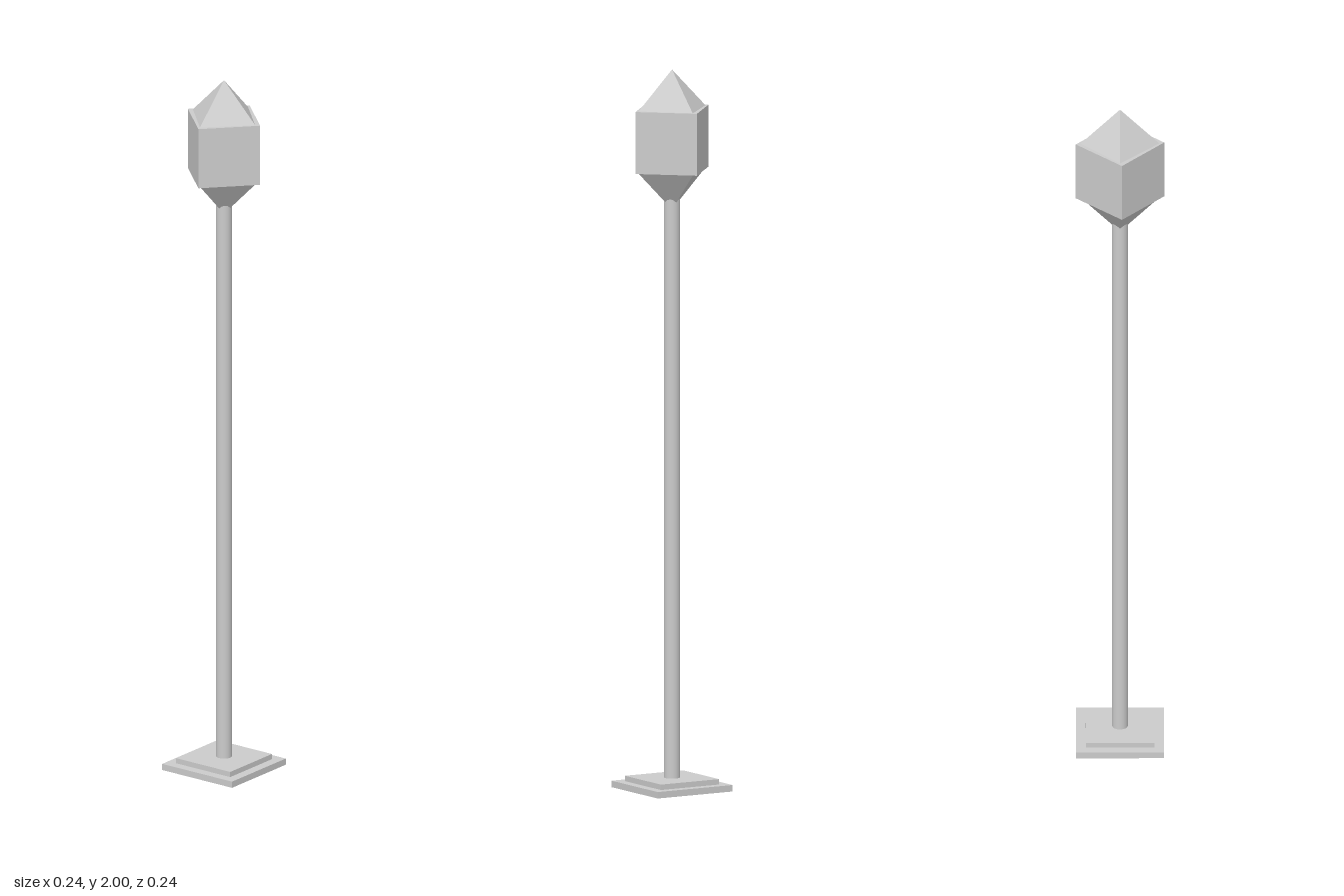
import * as THREE from 'three';

export function createModel() {
  const group = new THREE.Group();
  const flat = new THREE.MeshStandardMaterial({ color: 0xcccccc, flatShading: true });
  const smooth = new THREE.MeshStandardMaterial({ color: 0xcccccc });

  // Adds a part whose underside sits at the given height
  function add(name, geometry, bottom, height, material = flat) {
    const mesh = new THREE.Mesh(geometry, material);
    mesh.name = name;
    mesh.position.y = bottom + height / 2;
    group.add(mesh);
    return mesh;
  }

  // Stepped square base
  add('basePlate', new THREE.BoxGeometry(0.242, 0.018, 0.242), 0, 0.018);
  add('baseStep', new THREE.BoxGeometry(0.188, 0.015, 0.188), 0.018, 0.015);

  // Round pole, running up into the lantern
  add('pole', new THREE.CylinderGeometry(0.022, 0.022, 1.647, 16), 0.033, 1.647, smooth);

  // Lantern: inverted pyramid, slightly twisted cube, pyramid roof
  const pyramid = new THREE.ConeGeometry(0.109, 0.109, 4);
  add('lanternHolder', pyramid, 1.611, 0.109).rotation.x = Math.PI;
  const side = 0.172;
  add('lanternBody', new THREE.BoxGeometry(side, side, side), 1.72, side)
    .rotation.y = THREE.MathUtils.degToRad(47.3);
  add('lanternRoof', pyramid, 1.891, 0.109);

  return group;
}
